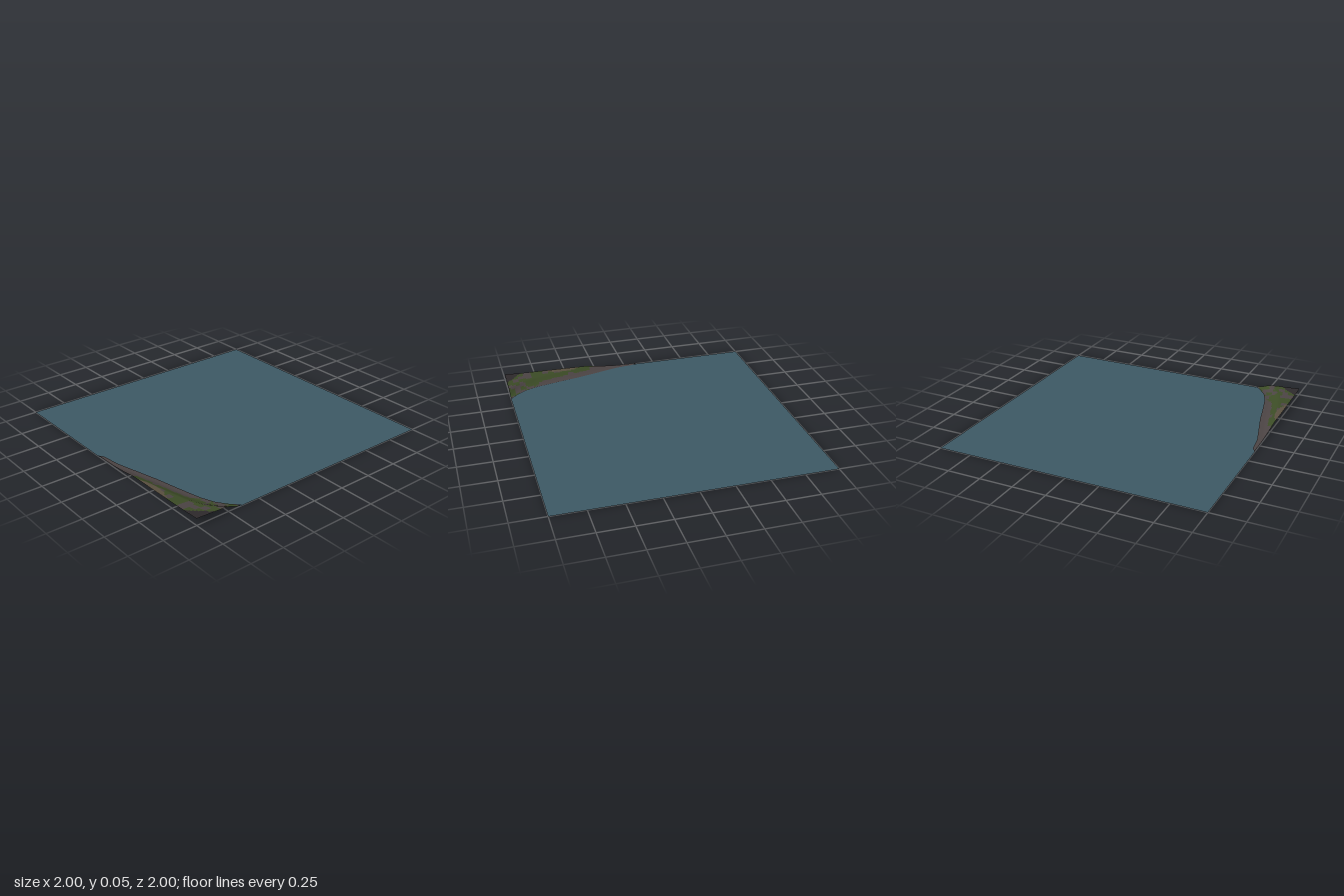
import * as THREE from 'three';

// Shoreline, x and z, from the side edge to the front edge
const SHORE = [[-1, -0.11], [-0.975, -0.07], [-0.96, 0.07], [-0.92, 0.22], [-0.87, 0.41],
  [-0.83, 0.6], [-0.79, 0.77], [-0.75, 0.87], [-0.7, 0.94], [-0.64, 1]];
// Land height by distance from the shore
const BANK = [[0, 0.006], [0.04, 0.009], [0.075, 0.02], [0.11, 0.036], [0.2, 0.042], [0.36, 0.05]];

function interpolate(points, v) {
  for (let i = 1; i < points.length; i++) {
    const [a, ya] = points[i - 1], [b, yb] = points[i];
    if (v <= b) return ya + (yb - ya) * Math.max(0, (v - a) / (b - a));
  }
  return points[points.length - 1][1];
}
const shoreByZ = SHORE.map(([x, z]) => [z, x]);
const shoreX = (z) => interpolate(shoreByZ, z);

function hash(i, j) {
  const s = Math.sin(i * 127.1 + j * 311.7) * 43758.5453;
  return s - Math.floor(s);
}

// Ground cover at a point
function coverAt(x, z) {
  if (x + 1 < z - 0.86) return 'darkSoil';
  if (z > 0.37 && z < 0.7 && x + 1 < 0.045 * Math.sin(((z - 0.37) / 0.33) * Math.PI)) return 'dryGround';
  const bankWidth = z < 0.7 ? 0.065 : Math.max(0, 0.065 - (z - 0.7) * 0.6);
  if (z < 0.26 + (x + 1) * 1.2 || shoreX(z) - x < bankWidth) return 'rockBank';
  return hash(Math.floor(x / 0.045), Math.floor(z / 0.05)) < 0.25 ? 'rockBank' : 'grass';
}

const COLORS = { darkSoil: 0x2e2a2c, dryGround: 0x5a5040, rockBank: 0x4c4444, grass: 0x3c4c26 };

function material(color) {
  return new THREE.MeshStandardMaterial({ color, side: THREE.DoubleSide });
}

// One sheet of land, its cells sorted into a mesh per ground cover
function createLand() {
  const land = new THREE.Group();
  land.name = 'land';
  const rows = 70, cols = 18, z0 = SHORE[0][1];
  const positions = [], all = [];
  const cells = { darkSoil: [], dryGround: [], rockBank: [], grass: [] };

  for (let i = 0; i <= rows; i++) {
    const z = z0 + (1 - z0) * (i / rows), edge = shoreX(z);
    for (let j = 0; j <= cols; j++) {
      const x = -1 + (edge + 1) * (j / cols);
      positions.push(x, interpolate(BANK, edge - x), z);
    }
  }
  for (let i = 0; i < rows; i++) {
    const z = z0 + (1 - z0) * ((i + 0.5) / rows);
    for (let j = 0; j < cols; j++) {
      const x = -1 + (shoreX(z) + 1) * ((j + 0.5) / cols);
      const a = i * (cols + 1) + j, b = a + cols + 1;
      const faces = i === 0 ? [a + 1, b, b + 1] : [a, b, a + 1, a + 1, b, b + 1];
      if (i === 0) faces[0] = a;
      all.push(...faces);
      cells[coverAt(x, z)].push(...faces);
    }
  }

  // Normals come from the whole sheet so the covers join smoothly
  const sheet = new THREE.BufferGeometry();
  sheet.setAttribute('position', new THREE.Float32BufferAttribute(positions, 3));
  sheet.setIndex(all);
  sheet.computeVertexNormals();

  for (const [name, index] of Object.entries(cells)) {
    const geometry = new THREE.BufferGeometry();
    geometry.setAttribute('position', sheet.attributes.position);
    geometry.setAttribute('normal', sheet.attributes.normal);
    geometry.setIndex(index);
    const mesh = new THREE.Mesh(geometry, material(COLORS[name]));
    mesh.name = name;
    land.add(mesh);
  }
  return land;
}

// Flat water with the land corner cut out, reaching slightly under the shore
function createWater() {
  const outline = [[-1, -1], [1, -1], [1, 1]];
  for (const [x, z] of [...SHORE].reverse()) outline.push([Math.max(-1, x - 0.015), z]);
  const shape = new THREE.Shape(outline.map(([x, z]) => new THREE.Vector2(x, -z)));
  const water = new THREE.Mesh(new THREE.ShapeGeometry(shape).rotateX(-Math.PI / 2), material(0x3e5a66));
  water.name = 'water';
  return water;
}

export function createModel() {
  const model = new THREE.Group();
  model.name = 'shoreTile';
  model.add(createWater(), createLand());
  return model;
}
